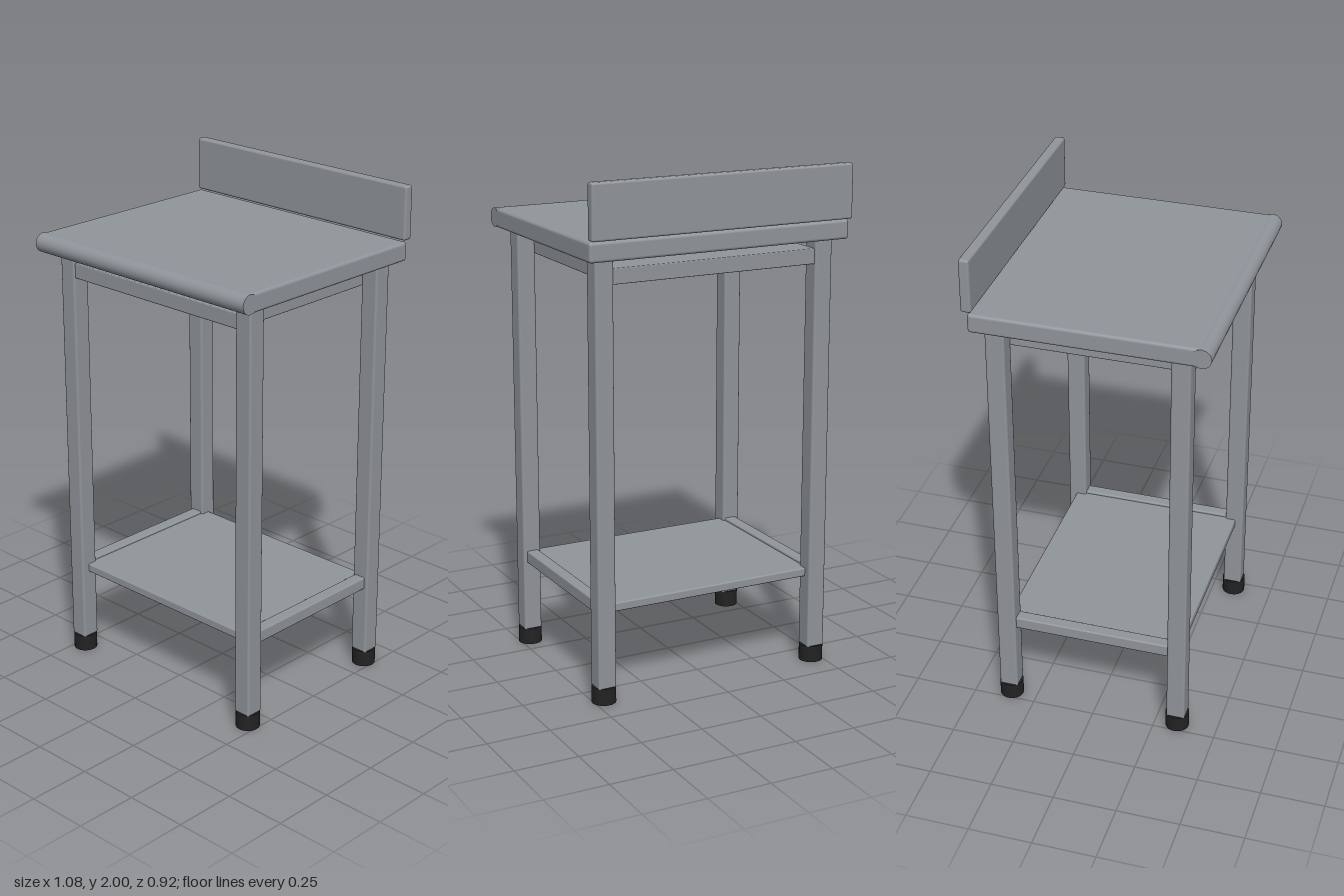
import * as THREE from 'three';
import { RoundedBoxGeometry } from 'three/addons/geometries/RoundedBoxGeometry.js';

export function createModel() {
  const steel = new THREE.MeshStandardMaterial({ color: 0x90959b });
  steel.name = 'brushedSteel';
  const rubber = new THREE.MeshStandardMaterial({ color: 0x222222 });
  rubber.name = 'blackRubber';

  const model = new THREE.Group();
  model.name = 'workTable';

  const add = (name, geometry, material, x, y, z) => {
    const mesh = new THREE.Mesh(geometry, material);
    mesh.name = name;
    mesh.position.set(x, y, z);
    model.add(mesh);
    return mesh;
  };

  // Softly rounded steel block given by its min and max corners
  const block = (name, [x0, y0, z0], [x1, y1, z1], radius) =>
    add(name, new RoundedBoxGeometry(x1 - x0, y1 - y0, z1 - z0, 2, radius), steel,
      (x0 + x1) / 2, (y0 + y1) / 2, (z0 + z1) / 2);

  // Table top with a round front nose and a raised back panel
  block('tableTop', [-0.54, 1.71, -0.44], [0.54, 1.785, 0.425], 0.012);
  const nose = add('frontNose', new THREE.CylinderGeometry(0.0375, 0.0375, 1.08, 24), steel, 0, 1.7475, 0.424);
  nose.rotation.z = Math.PI / 2;
  block('backsplash', [-0.54, 1.79, -0.462], [0.54, 2, -0.422], 0.009);

  // Square tube legs on round feet
  for (const x of [-0.46, 0.46]) {
    for (const z of [0.34, -0.355]) {
      block('leg', [x - 0.037, 0.06, z - 0.037], [x + 0.037, 1.71, z + 0.037], 0.009);
      add('foot', new THREE.CylinderGeometry(0.047, 0.047, 0.067, 24), rubber, x, 0.0335, z);
    }
  }

  // Closed frame under the top: front and back faces flush with the legs
  block('underFrame', [-0.425, 1.615, -0.385], [0.425, 1.675, 0.37], 0.004);

  // Lower shelf and its side rails
  block('shelf', [-0.44, 0.355, -0.36], [0.44, 0.39, 0.345], 0.006);
  for (const s of [-1, 1]) {
    const rail = new RoundedBoxGeometry(0.05, 0.05, 0.65, 2, 0.006);
    add('shelfRail', rail, steel, s * 0.457, 0.375, -0.0075);
  }

  return model;
}
